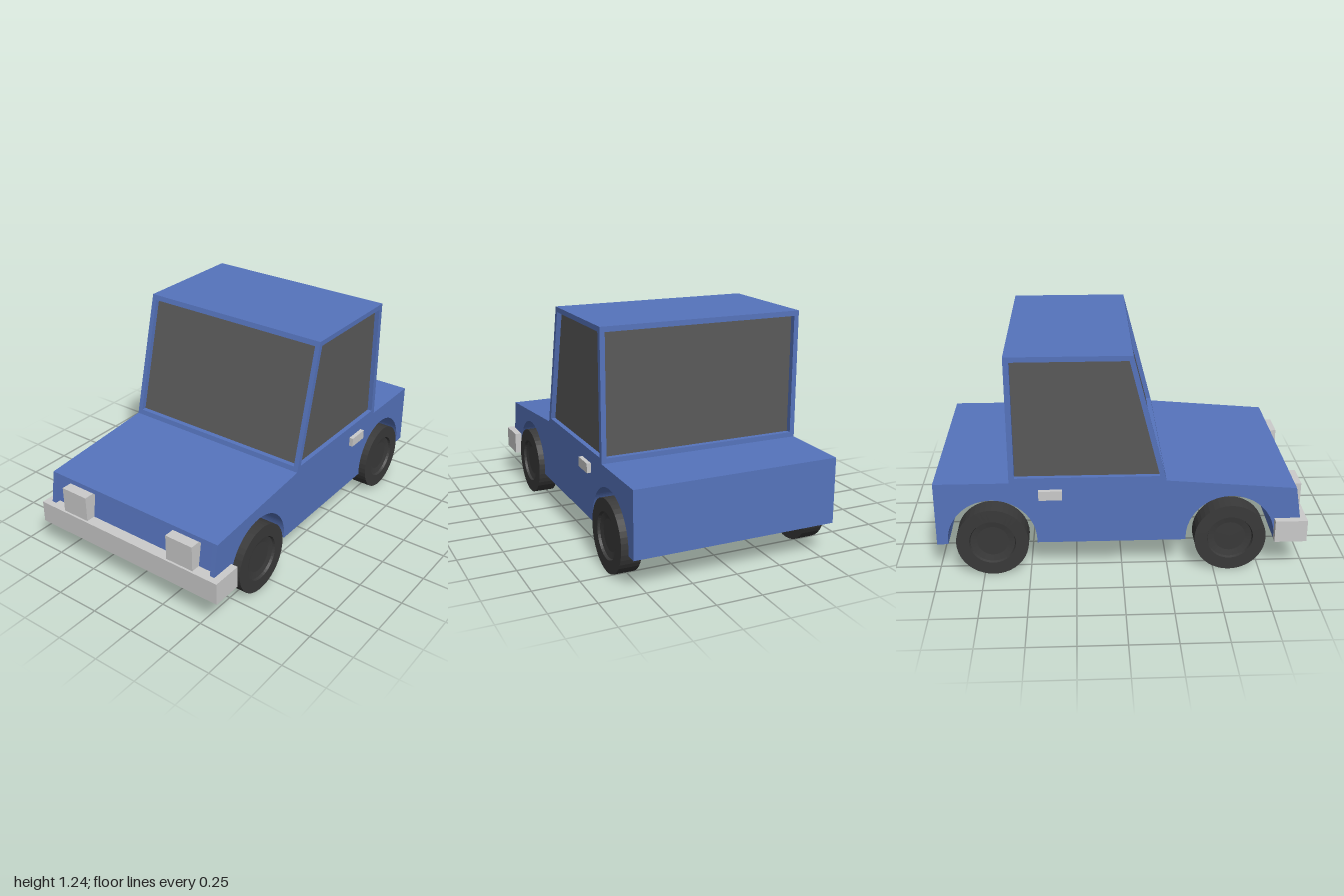
import * as THREE from 'three';

const mat = (color) => new THREE.MeshStandardMaterial({ color, flatShading: true });
const paint = mat(0x5674bd), glass = mat(0x5a5a5a), rubber = mat(0x3a3a3a), metal = mat(0xcccccc);

const HALF = 0.567, INNER = 0.54;            // outer half width, half width between side panels
const AXLES = [-0.7, 0.585], AXLE_Y = 0.2;

function add(parent, name, geometry, material, x = 0, y = 0, z = 0) {
  const mesh = new THREE.Mesh(geometry, material);
  mesh.name = name;
  mesh.position.set(x, y, z);
  parent.add(mesh);
  return mesh;
}

// Extrude a (z, y) side profile across x, from x0 to x1
function across(shape, x0, x1) {
  const g = new THREE.ExtrudeGeometry(shape, { depth: x1 - x0, bevelEnabled: false, curveSegments: 28 });
  return g.rotateY(-Math.PI / 2).translate(x1, 0, 0);
}

const polygon = (pts) => new THREE.Shape(pts.map(([z, y]) => new THREE.Vector2(z, y)));

// Underside with both wheel arches, followed by the given upper outline
function bodyShape(upper) {
  const s = new THREE.Shape();
  s.moveTo(-1, 0.18);
  const dip = Math.asin(0.02 / 0.24);
  for (const z of AXLES) {
    s.lineTo(z - 0.24 * Math.cos(dip), 0.18);
    s.absarc(z, AXLE_Y, 0.24, Math.PI + dip, -dip, true);
  }
  for (const [z, y] of upper) s.lineTo(z, y);
  s.closePath();
  return s;
}

export function createModel() {
  const car = new THREE.Group();
  car.name = 'car';

  const windowOutline = [[0.2, 0.567], [0.035, 1.212], [-0.57, 1.212], [-0.57, 0.567]];

  // Side panels: whole silhouette with a window opening
  const side = bodyShape([[0.985, 0.18], [0.935, 0.48], [0.235, 0.54], [0.055, 1.24],
    [-0.6, 1.24], [-0.6, 0.54], [-1, 0.54]]);
  side.holes.push(new THREE.Path(polygon(windowOutline).getPoints()));
  add(car, 'leftSidePanel', across(side, INNER, HALF), paint);
  add(car, 'rightSidePanel', across(side, -HALF, -INNER), paint);

  // Middle of the body: recessed nose, bonnet, window sills and boot
  const middle = bodyShape([[0.985, 0.18], [0.98, 0.21], [0.95, 0.21], [0.91, 0.455], [0.939, 0.455],
    [0.935, 0.48], [0.235, 0.54], [0.228, 0.567], [-0.6, 0.567], [-0.6, 0.54], [-1, 0.54]]);
  add(car, 'body', across(middle, -INNER, INNER), paint);

  // Roof between the side panels, and the glass block set back from it
  const roof = polygon([[0.062, 1.212], [0.055, 1.24], [-0.6, 1.24], [-0.6, 1.212]]);
  add(car, 'roof', across(roof, -INNER, INNER), paint);
  add(car, 'windows', across(polygon(windowOutline), -INNER, INNER), glass);

  // Front bumper
  add(car, 'bumper', new THREE.BoxGeometry(1.214, 0.125, 0.175), metal, 0, 0.2375, 0.9125);

  // Wheel with a dished hub on its outer face
  const wheelProfile = [[0, -0.056], [0.195, -0.056], [0.195, 0.056], [0.125, 0.056], [0.12, 0.042],
    [0.085, 0.036], [0, 0.036]].map(([r, h]) => new THREE.Vector2(r, h));
  const wheel = new THREE.LatheGeometry(wheelProfile, 40).rotateZ(-Math.PI / 2);

  for (const [s, label] of [[1, 'left'], [-1, 'right']]) {
    add(car, label + 'Headlight', new THREE.BoxGeometry(0.17, 0.165, 0.105), metal, s * 0.362, 0.3625, 0.935);
    add(car, label + 'DoorHandle', new THREE.BoxGeometry(0.04, 0.053, 0.125), metal, s * 0.57, 0.472, -0.383);
    AXLES.forEach((z, i) => {
      const w = add(car, label + ['Rear', 'Front'][i] + 'Wheel', wheel, rubber, s * 0.531, 0.195, z);
      if (s < 0) w.rotation.y = Math.PI;
    });
  }
  return car;
}
